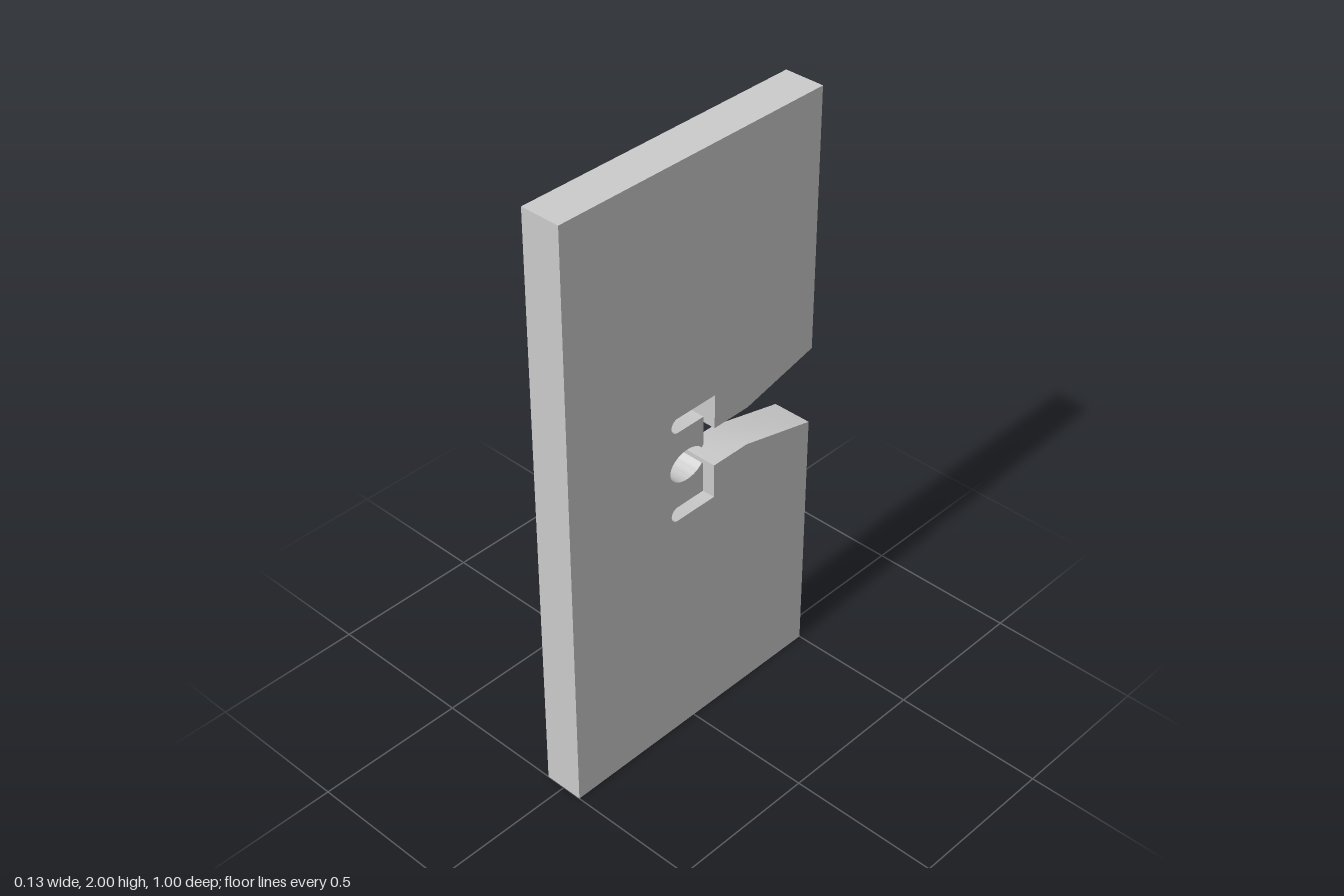
import * as THREE from 'three';
import { toCreasedNormals } from 'three/addons/utils/BufferGeometryUtils.js';

const THICKNESS = 0.133;

export function createModel() {
  const group = new THREE.Group();
  group.name = 'notchedPlate';

  // Side outline: first axis points to the back, second is height above mid-plane
  const s = new THREE.Shape();
  const lines = (pts) => pts.forEach(([u, v]) => s.lineTo(u, v));
  const slotEnd = (v) => s.absarc(-0.073, v, 0.025, -Math.PI / 2, Math.PI / 2, true);
  s.moveTo(-0.5, -1);

  // Lower half: tapered mouth, throat and lower hook slot
  lines([[0.5, -1], [0.5, -0.135], [0.22, -0.067], [0.08, -0.067], [0.08, -0.183]]);
  slotEnd(-0.158);
  lines([[0.033, -0.133], [0.033, -0.035]]);

  // Oval notch root between the two knife-edge lips
  s.absellipse(-0.033, 0, 0.07, 0.053, -0.54, 0.54, true);

  // Upper half, mirrored
  lines([[0.033, 0.035], [0.033, 0.133]]);
  slotEnd(0.158);
  lines([[0.08, 0.183], [0.08, 0.067], [0.22, 0.067], [0.5, 0.135], [0.5, 1], [-0.5, 1]]);
  s.closePath();

  // Extrude across the width, then turn so the mouth opens to the back
  let geo = new THREE.ExtrudeGeometry(s, { depth: THICKNESS, bevelEnabled: false, curveSegments: 24 });
  geo.translate(0, 1, -THICKNESS / 2);
  geo.rotateY(Math.PI / 2);
  geo = toCreasedNormals(geo, 0.4);

  const plate = new THREE.Mesh(geo, new THREE.MeshStandardMaterial({ color: 0xcccccc }));
  plate.name = 'plate';
  group.add(plate);
  return group;
}
